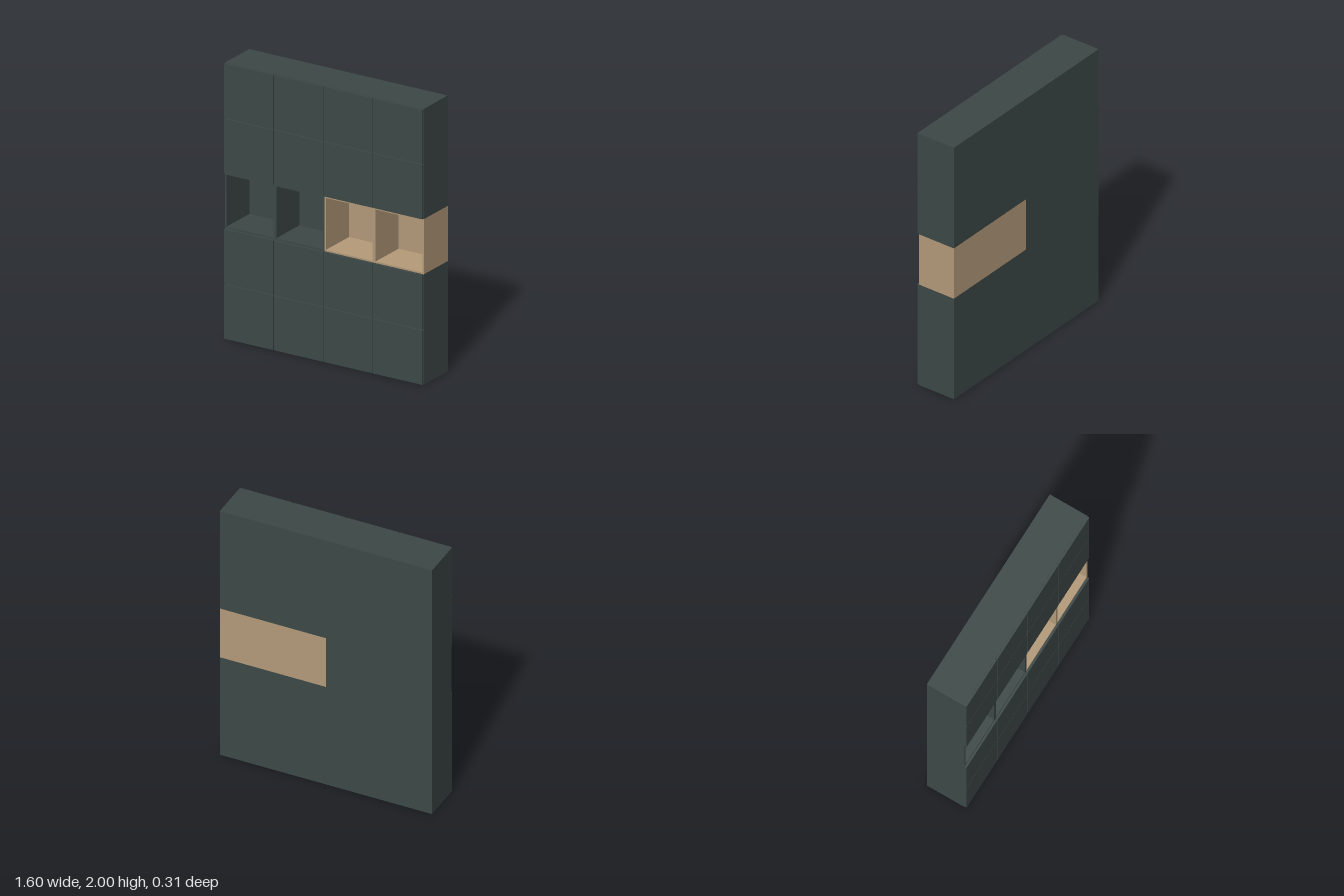
import * as THREE from 'three';

const CELL = 0.4, COLS = 4, ROWS = 5;
const WALL = 0.012, BACK = -0.157, FRONT = 0.141, DOOR = 0.016, GAP = 0.006;

const dark = new THREE.MeshStandardMaterial({ color: 0x3d4947 });
const wood = new THREE.MeshStandardMaterial({ color: 0xb59b7a });

function panel(name, w, h, d, x, y, z, material) {
  const mesh = new THREE.Mesh(new THREE.BoxGeometry(w, h, d), material);
  mesh.name = name;
  mesh.position.set(x, y, z);
  return mesh;
}

// Open box: two sides, top, bottom and back
function carcass(material) {
  const box = new THREE.Group();
  const depth = FRONT - BACK, midZ = (FRONT + BACK) / 2;
  const offset = (CELL - WALL) / 2, inner = CELL - 2 * WALL;
  for (const s of [-1, 1]) {
    box.add(panel(s < 0 ? 'rightSide' : 'leftSide', WALL, CELL, depth, s * offset, 0, midZ, material));
    box.add(panel(s < 0 ? 'bottomPanel' : 'topPanel', inner, WALL, depth, 0, s * offset, midZ, material));
  }
  box.add(panel('backPanel', inner, inner, WALL, 0, 0, BACK + WALL / 2, material));
  return box;
}

export function createModel() {
  const model = new THREE.Group();
  model.name = 'wallCabinet';
  for (let row = 0; row < ROWS; row++) {
    for (let col = 0; col < COLS; col++) {
      const open = row === 2;
      const material = open && col >= 2 ? wood : dark;
      const unit = carcass(material);
      unit.name = open ? 'openShelf' : 'closedCabinet';
      unit.position.set((col - (COLS - 1) / 2) * CELL, (row + 0.5) * CELL, 0);
      // Closed units get a slightly inset door on the front
      if (!open) {
        unit.add(panel('door', CELL - GAP, CELL - GAP, DOOR, 0, 0, FRONT + DOOR / 2, material));
      }
      model.add(unit);
    }
  }
  return model;
}
